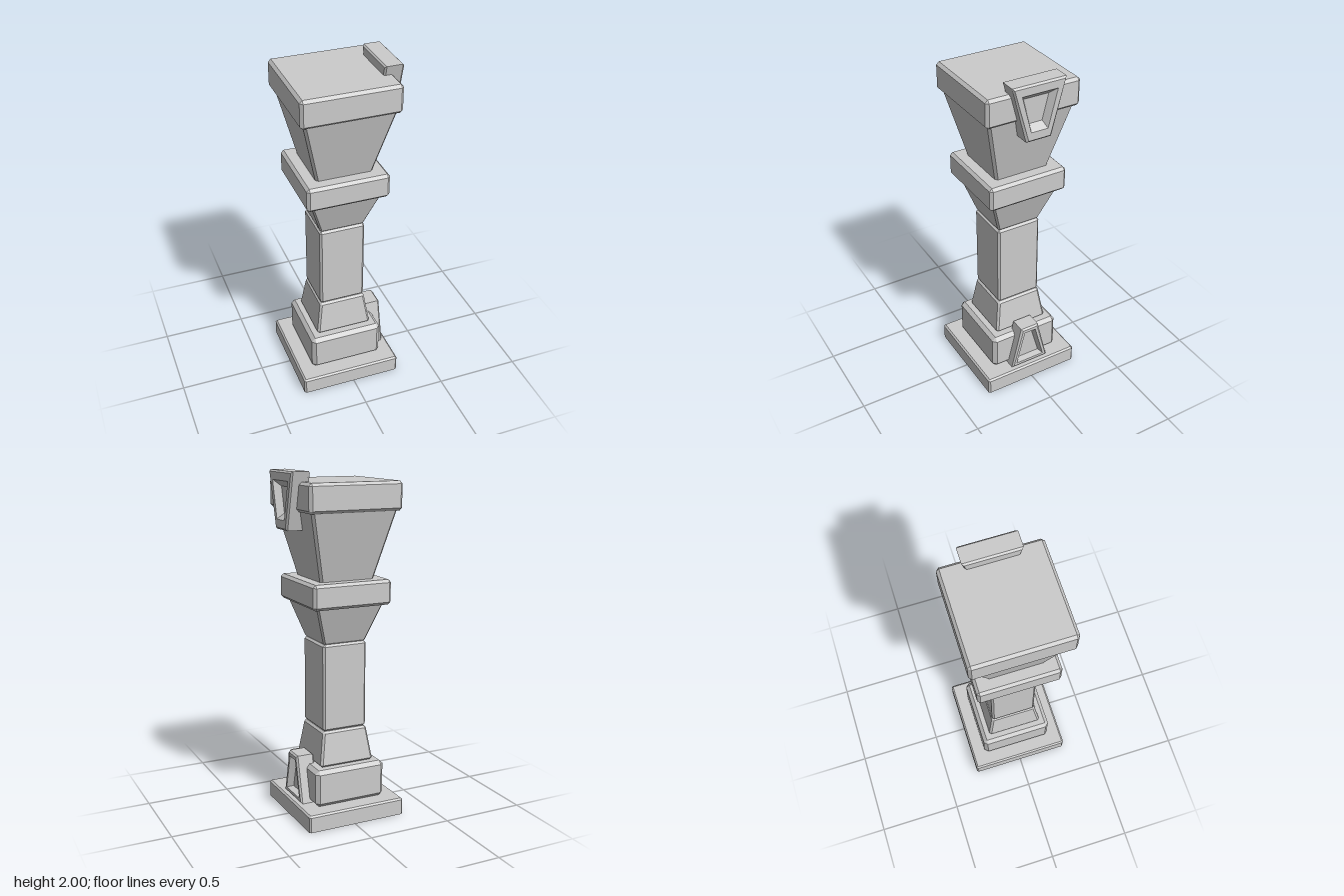
import * as THREE from 'three';

const material = new THREE.MeshStandardMaterial({ color: 0xcccccc, flatShading: true, side: THREE.DoubleSide });
const AXIS_X = -0.015; // column axis

// Skins a series of equal-length loops; loops run counter-clockwise about the direction of travel.
function loft(name, rings, capStart = true) {
  const pos = [];
  const tri = (a, b, c) => {
    const area = b.clone().sub(a).cross(c.clone().sub(a)).length();
    if (area > 1e-9) for (const p of [a, b, c]) pos.push(p.x, p.y, p.z);
  };
  const n = rings[0].length;
  for (let k = 0; k < rings.length - 1; k++) {
    const a = rings[k], b = rings[k + 1];
    for (let i = 0; i < n; i++) {
      const j = (i + 1) % n;
      tri(a[i], a[j], b[j]);
      tri(a[i], b[j], b[i]);
    }
  }
  const first = rings[0], last = rings[rings.length - 1];
  for (let i = 1; i < n - 1; i++) {
    tri(last[0], last[i], last[i + 1]);
    if (capStart) tri(first[0], first[i + 1], first[i]);
  }
  const geometry = new THREE.BufferGeometry();
  geometry.setAttribute('position', new THREE.Float32BufferAttribute(pos, 3));
  geometry.computeVertexNormals();
  const mesh = new THREE.Mesh(geometry, material);
  mesh.name = name;
  return mesh;
}

// Square of half-width h with corners cut by c, at height y
function squareRing(y, h, c) {
  const k = h - c;
  return [[-k, h], [k, h], [h, k], [h, -k], [k, -h], [-k, -h], [-h, -k], [-h, k]]
    .map(([x, z]) => new THREE.Vector3(AXIS_X + x, y, z));
}

// Bevelled square block tapering from half-width h0 to h1
function block(name, y0, y1, h0, h1, bevel) {
  return loft(name, [
    squareRing(y0, h0 - bevel, 0),
    squareRing(y0 + bevel, h0, bevel),
    squareRing(y1 - bevel, h1, bevel),
    squareRing(y1, h1 - bevel, 0),
  ]);
}

// Trapezoid loop facing +x: bottom and top heights with their half-widths
function trapezoidRing(x, yBottom, yTop, wBottom, wTop) {
  return [[wTop, yTop], [wBottom, yBottom], [-wBottom, yBottom], [-wTop, yTop]]
    .map(([z, y]) => new THREE.Vector3(x, y, z));
}

// Bevelled trapezoid plate with a sloping recess in its face
function plate(name, xBack, xFront, outer, hole, floor, depth) {
  const b = 0.01;
  const [y0, y1, w0, w1] = outer;
  const inset = [y0 + b, y1 - b, w0 - b, w1 - b];
  return loft(name, [
    trapezoidRing(xBack, ...inset),
    trapezoidRing(xBack + b, ...outer),
    trapezoidRing(xFront - b, ...outer),
    trapezoidRing(xFront, ...inset),
    trapezoidRing(xFront, ...hole),
    trapezoidRing(xFront - depth, ...floor),
  ]);
}

export function createModel() {
  const group = new THREE.Group();
  group.name = 'pillar';

  // Plinth slab, hollow underneath
  group.add(loft('baseSlab', [
    squareRing(0, 0.302, 0.01),
    squareRing(0.09, 0.302, 0.01),
    squareRing(0.1, 0.292, 0),
  ], false));

  // Stacked column blocks: name, bottom, top, half-widths, bevel
  const blocks = [
    ['pedestal', 0.1, 0.32, 0.218, 0.218, 0.022],
    ['lowerTaper', 0.32, 0.525, 0.167, 0.14, 0.012],
    ['shaft', 0.525, 1.037, 0.136, 0.136, 0.012],
    ['neck', 1.037, 1.27, 0.133, 0.205, 0.01],
    ['collar', 1.257, 1.4, 0.24, 0.24, 0.016],
    ['upperTaper', 1.385, 1.8, 0.165, 0.258, 0.014],
    ['cap', 1.783, 1.945, 0.28, 0.28, 0.016],
  ];
  for (const b of blocks) group.add(block(...b));

  // Recessed plates on the +x side
  group.add(plate('upperPlate', 0.205, 0.315,
    [1.68, 2, 0.075, 0.158], [1.735, 1.947, 0.05, 0.105], [1.767, 1.912, 0.038, 0.075], 0.04));
  group.add(plate('lowerPlate', 0.15, 0.26,
    [0.1, 0.373, 0.122, 0.058], [0.127, 0.343, 0.092, 0.036], [0.133, 0.322, 0.08, 0.029], 0.04));

  return group;
}
